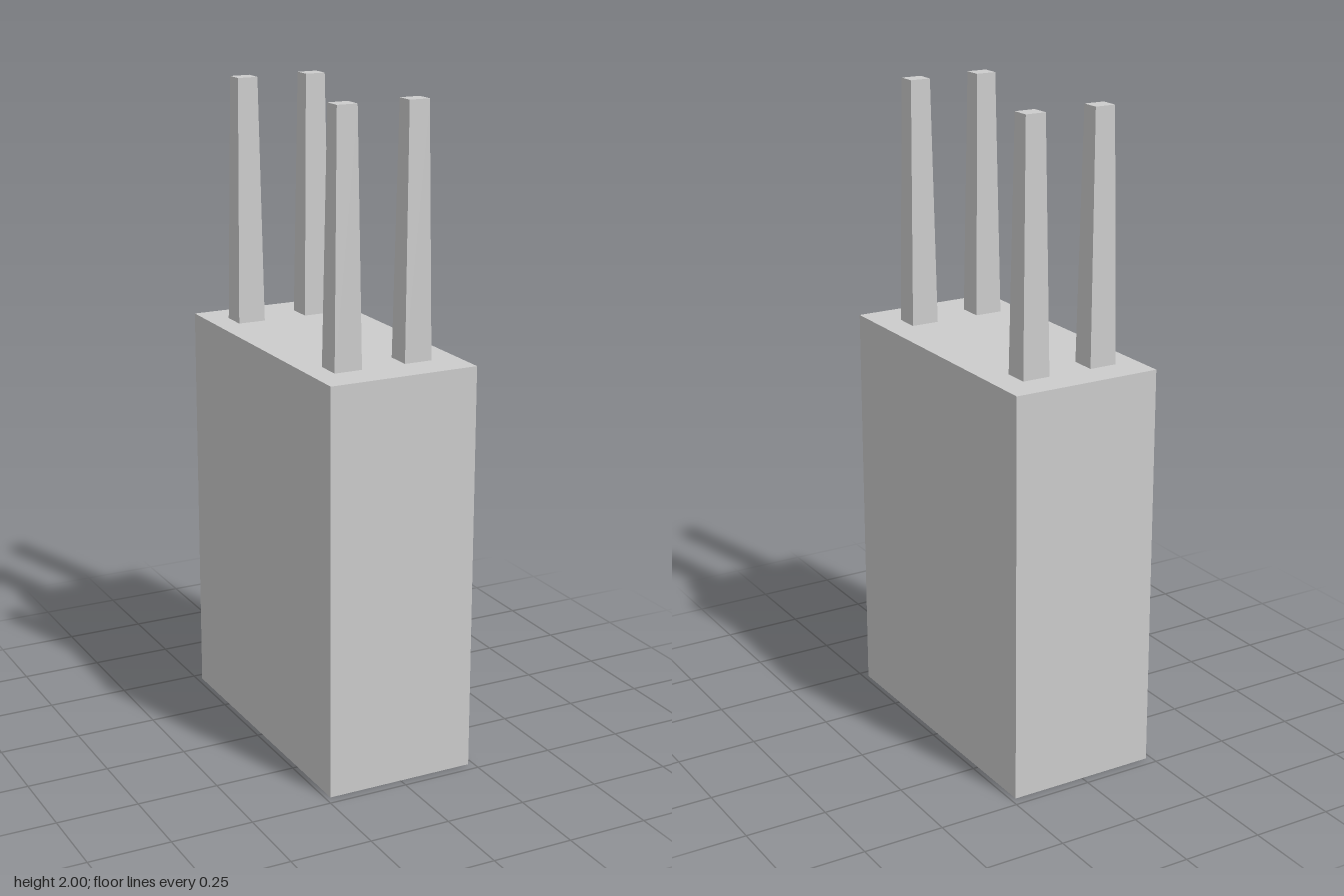
import * as THREE from 'three';

const BODY = { w: 0.468, h: 1.25, d: 0.938 };
const PIN = { w: 0.087, d: 0.079, h: 0.75, topW: 0.064, topD: 0.057 };

// Box whose upper face is shrunk to give a tapered pin, base at y = 0
function taperedPin() {
  const geo = new THREE.BoxGeometry(PIN.w, PIN.h, PIN.d);
  geo.translate(0, PIN.h / 2, 0);
  const p = geo.attributes.position;
  for (let i = 0; i < p.count; i++) {
    if (p.getY(i) > PIN.h / 2) {
      p.setX(i, Math.sign(p.getX(i)) * PIN.topW / 2);
      p.setZ(i, Math.sign(p.getZ(i)) * PIN.topD / 2);
    }
  }
  geo.computeVertexNormals();
  return geo;
}

export function createModel() {
  const group = new THREE.Group();
  group.name = 'fourPinBlock';
  const material = new THREE.MeshStandardMaterial({ color: 0xcccccc, flatShading: true });

  // Main block
  const body = new THREE.Mesh(new THREE.BoxGeometry(BODY.w, BODY.h, BODY.d), material);
  body.name = 'body';
  body.position.y = BODY.h / 2;
  group.add(body);

  // Four pins, set slightly off centre on the top face
  const pinGeo = taperedPin();
  for (const [side, x] of [['Right', -0.12], ['Left', 0.106]]) {
    for (const [end, z] of [['front', 0.316], ['back', -0.327]]) {
      const pin = new THREE.Mesh(pinGeo, material);
      pin.name = `${end}${side}Pin`;
      pin.position.set(x, BODY.h, z);
      group.add(pin);
    }
  }
  return group;
}
